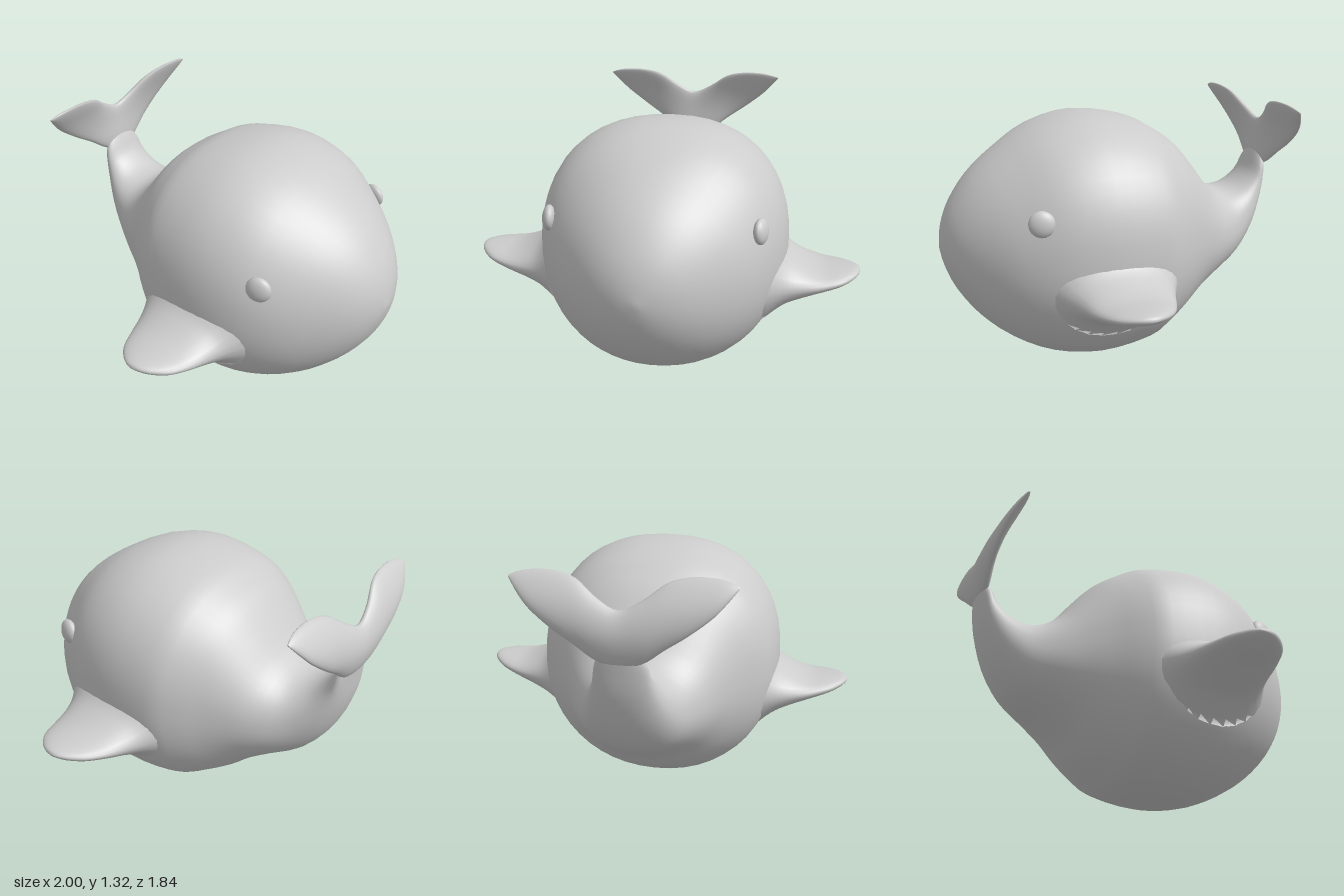
import * as THREE from 'three';

const material = new THREE.MeshStandardMaterial({ color: 0xcccccc });

// Smoothly resample a short table of sections, column by column
function resample(rows, count) {
  const columns = rows[0].map((_, c) =>
    new THREE.CatmullRomCurve3(rows.map((r) => new THREE.Vector3(r[c], 0, 0)), false, 'catmullrom', 0.5));
  return Array.from({ length: count + 1 }, (_, i) => columns.map((curve) => curve.getPoint(i / count).x));
}

// Skin a series of closed rings into one smooth, capped surface
function loft(name, rings) {
  const n = rings[0].length;
  const points = rings.flat();
  const index = [];
  for (let i = 0; i < rings.length - 1; i++) {
    for (let j = 0; j < n; j++) {
      const a = i * n + j, b = i * n + ((j + 1) % n);
      index.push(a, b, a + n, b, b + n, a + n);
    }
  }
  [0, rings.length - 1].forEach((r) => {
    const centre = new THREE.Vector3();
    rings[r].forEach((p) => centre.addScaledVector(p, 1 / n));
    const c = points.push(centre) - 1;
    for (let j = 0; j < n; j++) {
      const a = r * n + j, b = r * n + ((j + 1) % n);
      if (r === 0) index.push(c, b, a);
      else index.push(c, a, b);
    }
  });
  // Turn the faces outward when the rings run the other way
  let volume = 0;
  const cross = new THREE.Vector3();
  for (let i = 0; i < index.length; i += 3) {
    volume += points[index[i]].dot(cross.crossVectors(points[index[i + 1]], points[index[i + 2]]));
  }
  if (volume < 0) index.reverse();
  const geometry = new THREE.BufferGeometry().setFromPoints(points);
  geometry.setIndex(index);
  geometry.computeVertexNormals();
  const mesh = new THREE.Mesh(geometry, material);
  mesh.name = name;
  return mesh;
}

const ring = (n, point) => Array.from({ length: n }, (_, j) => point((j / n) * Math.PI * 2));
const power = (v, e) => Math.sign(v) * Math.abs(v) ** e;

// Round body that narrows and bends upward into the tail
function createBody() {
  // top z, top y, bottom z, bottom y, half width
  const sections = [
    [0.92, 0.67, 0.92, 0.63, 0.02],
    [0.90, 0.77, 0.90, 0.54, 0.11],
    [0.85, 0.88, 0.85, 0.42, 0.22],
    [0.75, 1.01, 0.75, 0.28, 0.35],
    [0.60, 1.13, 0.60, 0.15, 0.49],
    [0.40, 1.24, 0.40, 0.05, 0.595],
    [0.17, 1.29, 0.17, 0.01, 0.635],
    [-0.08, 1.25, -0.08, 0.04, 0.61],
    [-0.20, 1.19, -0.20, 0.10, 0.55],
    [-0.30, 1.12, -0.31, 0.17, 0.47],
    [-0.40, 1.00, -0.41, 0.26, 0.40],
    [-0.50, 0.875, -0.53, 0.345, 0.33],
    [-0.60, 0.82, -0.68, 0.44, 0.25],
    [-0.70, 0.835, -0.79, 0.59, 0.19],
    [-0.78, 0.90, -0.855, 0.77, 0.14],
    [-0.82, 0.98, -0.875, 0.91, 0.115],
    [-0.85, 1.04, -0.885, 1.01, 0.06],
  ];
  const rings = resample(sections, 48).map(([tz, ty, bz, by, w]) => ring(48, (a) => {
    const c = Math.cos(a), s = Math.sin(a);
    const shoulder = THREE.MathUtils.smoothstep(-tz, -0.62, -0.4);
    const e = s > 0 ? 2 / (2.05 + 0.25 * shoulder) : 2 / 2.1;
    const k = (power(s, e) + 1) / 2;
    return new THREE.Vector3(w * power(c, e), by + (ty - by) * k, bz + (tz - bz) * k);
  }));
  return loft('body', rings);
}

// Broad side fin, flaring out of the body
function createFin(side) {
  // x, bottom y, top y, back z, front z
  const sections = [
    [0.52, 0.27, 0.80, -0.17, 0.50],
    [0.62, 0.365, 0.67, -0.11, 0.43],
    [0.70, 0.41, 0.615, -0.07, 0.395],
    [0.80, 0.455, 0.58, -0.03, 0.365],
    [0.90, 0.49, 0.575, 0.02, 0.325],
    [0.96, 0.515, 0.573, 0.075, 0.27],
    [0.99, 0.535, 0.567, 0.12, 0.22],
    [1.00, 0.545, 0.556, 0.15, 0.18],
  ];
  const rings = resample(sections, 24).map(([x, y0, y1, z0, z1]) => ring(28, (a) => new THREE.Vector3(
    side * x,
    (y0 + y1) / 2 + (y1 - y0) / 2 * Math.sin(a),
    (z0 + z1) / 2 + (z1 - z0) / 2 * Math.cos(a))));
  return loft(side > 0 ? 'leftFin' : 'rightFin', rings);
}

// Notched tail fluke, curling forward toward its upper edge
function createFluke() {
  // x, lower y, upper y, half thickness
  const half = [
    [0, 0.93, 1.19, 0.038],
    [0.10, 0.955, 1.235, 0.038],
    [0.20, 1.03, 1.305, 0.034],
    [0.30, 1.10, 1.33, 0.030],
    [0.40, 1.18, 1.33, 0.024],
    [0.46, 1.245, 1.32, 0.016],
    [0.50, 1.295, 1.305, 0.005],
  ];
  const mirrored = half.slice(1).reverse().map(([x, ...rest]) => [-x, ...rest]);
  const curl = new THREE.SplineCurve([[0.9, -0.85], [1.0, -0.87], [1.1, -0.878], [1.2, -0.858], [1.3, -0.808], [1.4, -0.74]]
    .map(([y, z]) => new THREE.Vector2(y, z)));
  const rings = resample([...mirrored, ...half], 48).map(([x, y0, y1, t]) => ring(24, (a) => {
    const y = (y0 + y1) / 2 + (y1 - y0) / 2 * Math.cos(a);
    return new THREE.Vector3(x, y, curl.getPoint((y - 0.9) / 0.5).y + t * Math.sin(a));
  }));
  return loft('tailFluke', rings);
}

// Small flattened bead set into the side of the head
function createEye(side) {
  const eye = new THREE.Mesh(new THREE.SphereGeometry(0.063, 20, 14), material);
  eye.scale.set(1, 1, 0.5);
  eye.position.set(side * 0.51, 0.875, 0.52);
  eye.rotation.set(-0.12, side * 1.3, 0, 'YXZ');
  eye.name = side > 0 ? 'leftEye' : 'rightEye';
  return eye;
}

export function createModel() {
  const whale = new THREE.Group();
  whale.name = 'whale';
  whale.add(createBody(), createFluke());
  for (const side of [1, -1]) whale.add(createFin(side), createEye(side));
  return whale;
}
